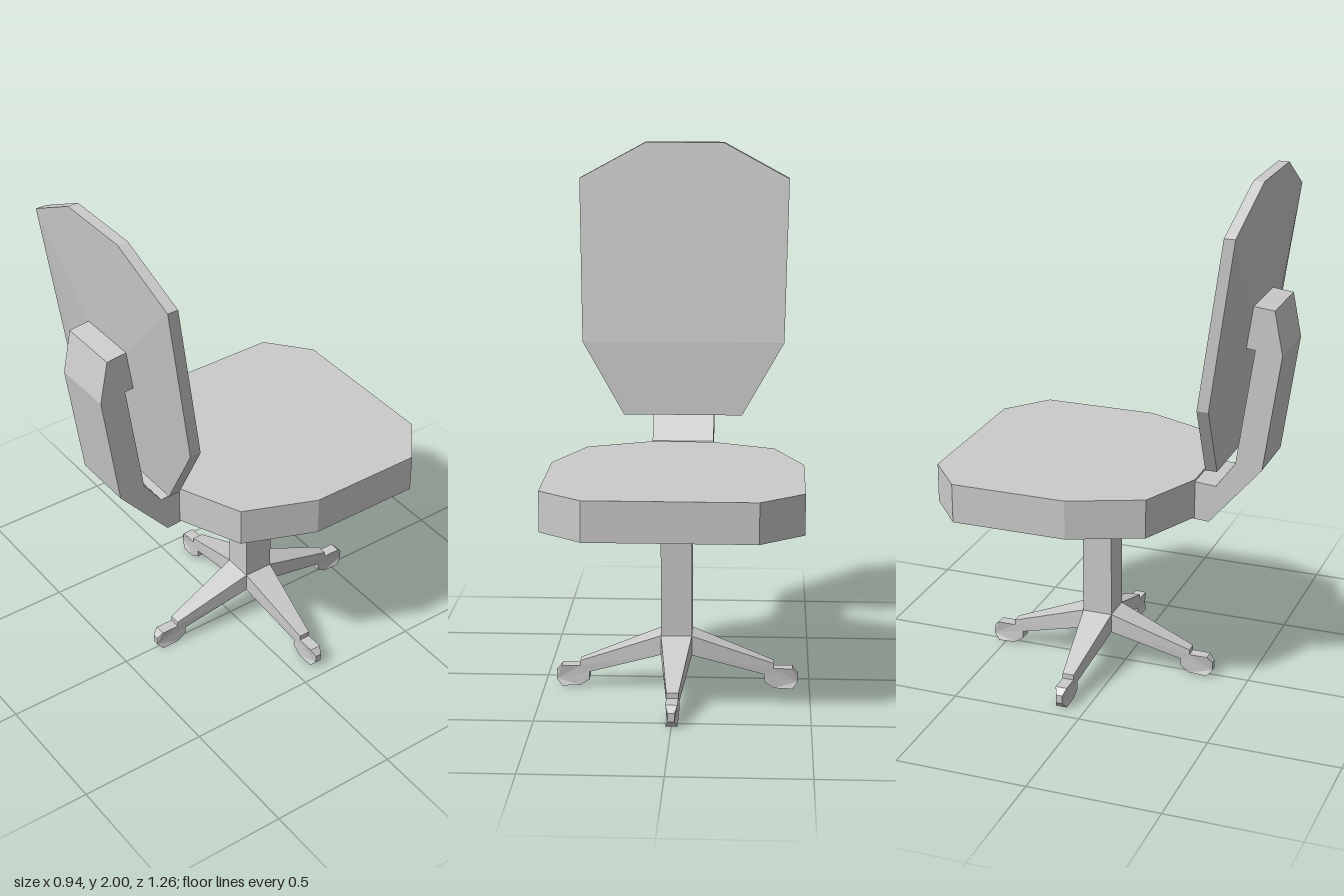
import * as THREE from 'three';
import { ConvexGeometry } from 'three/addons/geometries/ConvexGeometry.js';

const material = new THREE.MeshStandardMaterial({ color: 0xcccccc, flatShading: true });

function part(name, geometry) {
  const mesh = new THREE.Mesh(geometry, material);
  mesh.name = name;
  return mesh;
}

// Straight extrusion of an outline, centred on its depth
function slab(points, depth) {
  const shape = new THREE.Shape(points.map(([a, b]) => new THREE.Vector2(a, b)));
  return new THREE.ExtrudeGeometry(shape, { depth, bevelEnabled: false }).translate(0, 0, -depth / 2);
}

// Seat: octagon-like cushion, narrower towards the back
function seatGeometry() {
  const half = [[0.12, 0.315], [0.36, 0.21], [0.47, -0.06], [0.47, -0.5], [0.31, -0.632]];
  const outline = [...half, ...half.map(([x, z]) => [-x, z]).reverse()];
  return slab(outline.map(([x, z]) => [x, -z]), 0.15).rotateX(-Math.PI / 2).translate(0, 0.78, 0);
}

// Bent bracket joining seat and backrest, outlined in (z, y)
function bracketGeometry() {
  return slab([
    [0.3, 0.7], [0.37, 0.695], [0.568, 0.927], [0.632, 1.37], [0.6, 1.533], [0.515, 1.543],
    [0.49, 1.385], [0.532, 1.38], [0.467, 0.938], [0.395, 0.84], [0.3, 0.848],
  ], 0.24).rotateY(-Math.PI / 2);
}

// Backrest: rows of [half width, y, front z, rear z], plus a raised pad behind
function backrestGeometry() {
  const rows = [
    [0.153, 2.0, 0.52, 0.56], [0.41, 1.862, 0.499, 0.54],
    [0.395, 1.232, 0.407, 0.45], [0.232, 0.946, 0.39, 0.434],
  ];
  const points = [];
  for (const s of [-1, 1]) {
    for (const [x, y, front, rear] of rows) {
      points.push(new THREE.Vector3(s * x, y, front), new THREE.Vector3(s * x, y, rear));
    }
    points.push(new THREE.Vector3(s * 0.12, 1.54, 0.522), new THREE.Vector3(s * 0.12, 1.385, 0.498));
  }
  return new ConvexGeometry(points);
}

// Leg with foot: outlined in (radius, y), then tapered in width along the radius
function legGeometry() {
  const geometry = slab([
    [0.057, 0.14], [0.33, 0.057], [0.33, 0.028], [0.365, 0.003], [0.435, 0], [0.456, 0.025],
    [0.456, 0.057], [0.435, 0.08], [0.365, 0.08], [0.365, 0.1], [0.057, 0.215],
  ], 2);
  const p = geometry.attributes.position;
  for (let i = 0; i < p.count; i++) {
    const r = p.getX(i);
    const width = r > 0.45 ? 0.012 : r > 0.36 ? 0.022 : THREE.MathUtils.mapLinear(r, 0.057, 0.365, 0.058, 0.02);
    p.setZ(i, p.getZ(i) * width);
  }
  geometry.computeVertexNormals();
  return geometry;
}

export function createModel() {
  const chair = new THREE.Group();
  chair.name = 'officeChair';
  chair.add(
    part('seat', seatGeometry()),
    part('backBracket', bracketGeometry()),
    part('backrest', backrestGeometry()),
  );

  // Pedestal: square column on four legs
  const base = new THREE.Group();
  base.name = 'base';
  base.position.z = -0.095;
  base.add(part('column', new THREE.BoxGeometry(0.116, 0.57, 0.116).translate(0, 0.425, 0)));
  const leg = legGeometry();
  for (let i = 0; i < 4; i++) {
    const mesh = part('leg', leg);
    mesh.rotation.y = (i * Math.PI) / 2;
    base.add(mesh);
  }
  chair.add(base);
  return chair;
}
